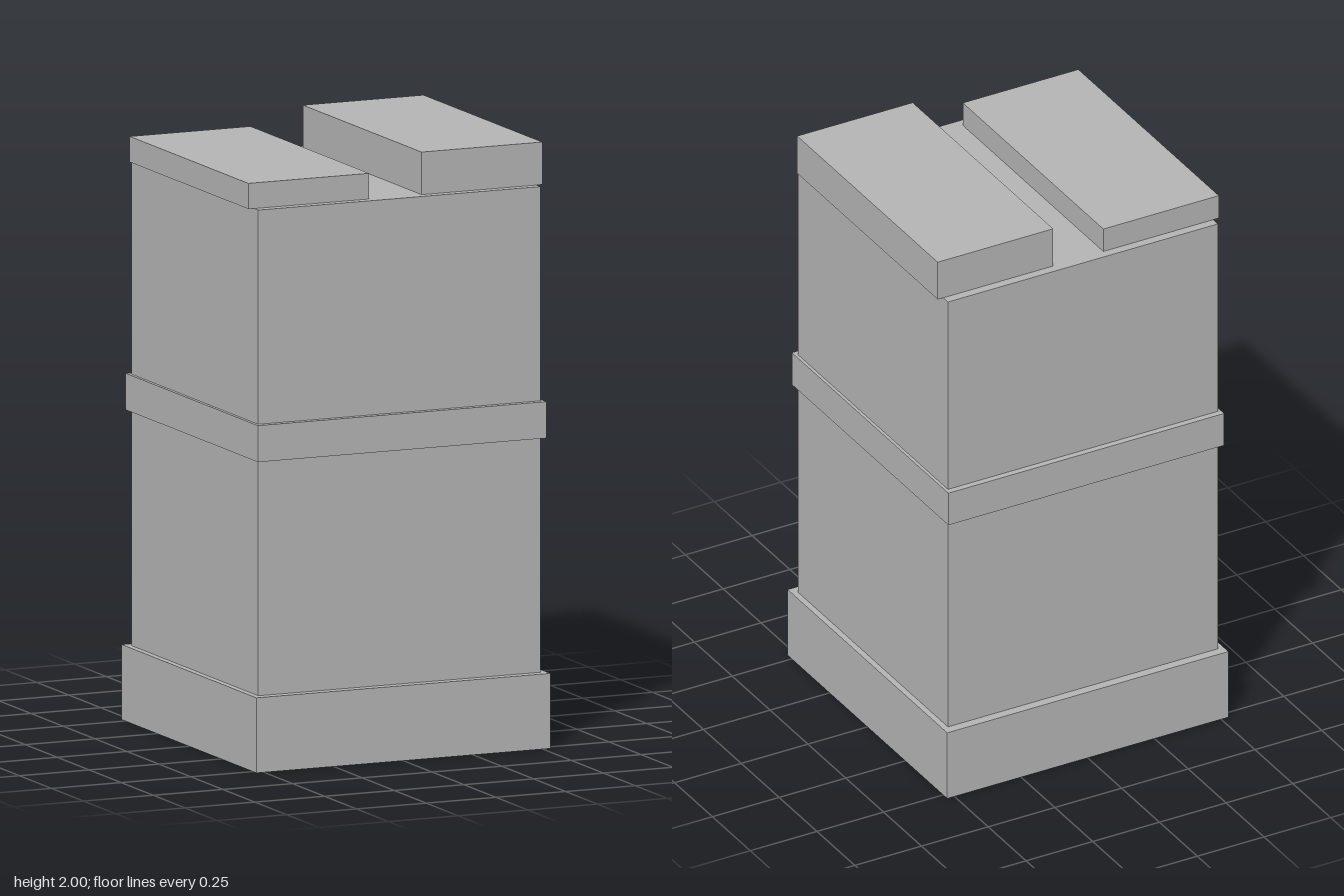
import * as THREE from 'three';

export function createModel() {
  const model = new THREE.Group();
  model.name = 'pillar';
  const stone = new THREE.MeshStandardMaterial({ color: 0xb3b3b3 });
  stone.name = 'grey stone';

  // Adds a block spanning bottom..top in y
  const block = (name, width, depth, bottom, top, x = 0) => {
    const mesh = new THREE.Mesh(new THREE.BoxGeometry(width, top - bottom, depth), stone);
    mesh.name = name;
    mesh.position.set(x, (bottom + top) / 2, 0);
    model.add(mesh);
  };

  // Plinth, shaft and the band round its middle
  block('base', 1.054, 1.054, 0, 0.249);
  block('lowerShaft', 1.012, 0.99, 0.249, 1.028);
  block('band', 1.034, 1.034, 1.028, 1.149);
  block('upperShaft', 1.012, 0.99, 1.149, 1.859);

  // Two slabs on top, the left one taller
  block('rightTopSlab', 0.433, 0.928, 1.859, 1.944, -0.3105);
  block('leftTopSlab', 0.433, 0.928, 1.859, 2, 0.3105);

  return model;
}
